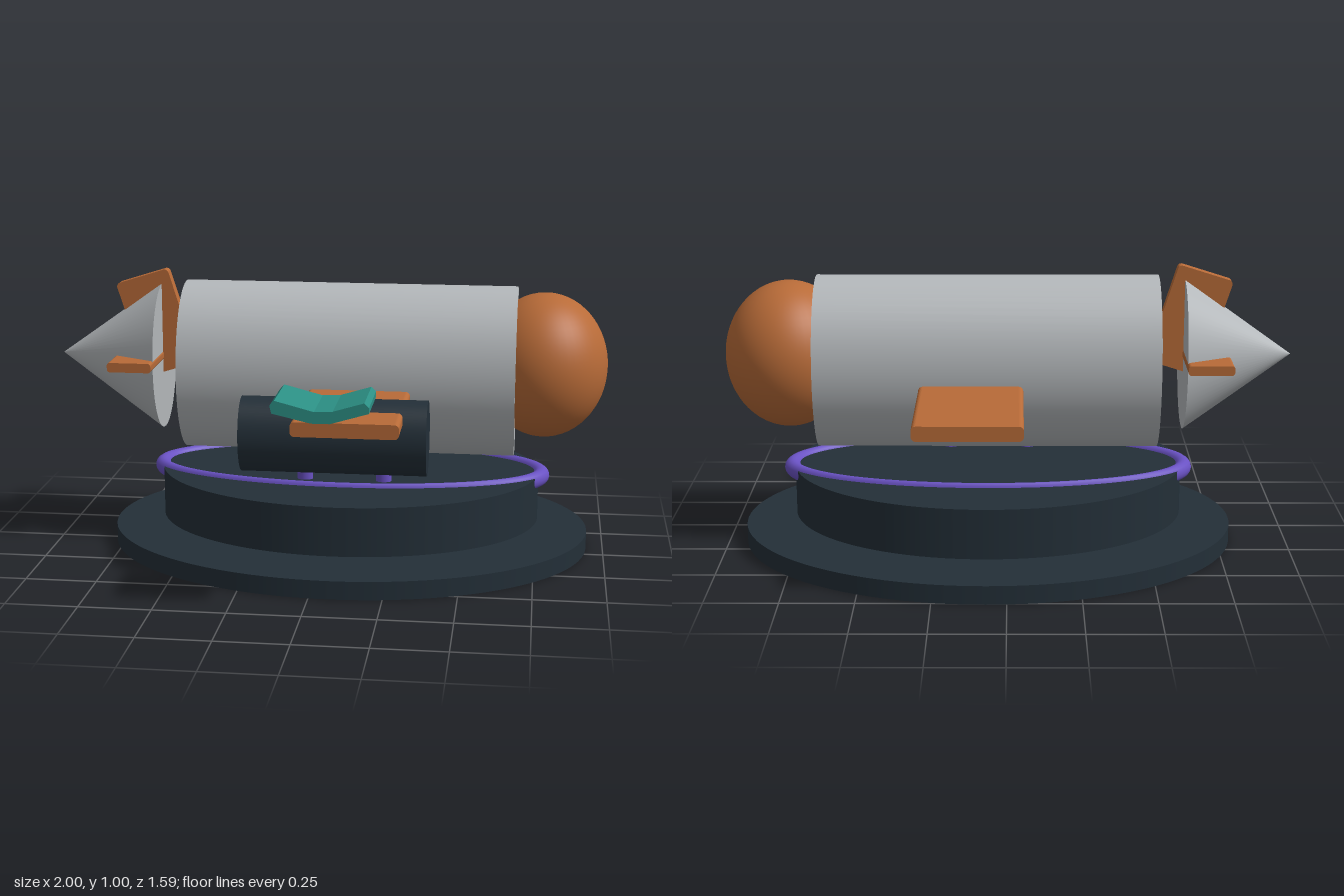
import * as THREE from 'three';

const mat = (name, color) => {
  const m = new THREE.MeshStandardMaterial({ color });
  m.name = name;
  return m;
};

export function createModel() {
  const group = new THREE.Group();
  group.name = 'rocketOnStand';
  const dark = mat('darkSlate', 0x232f38);
  const grey = mat('lightGrey', 0xb4b8bb);
  const copper = mat('copper', 0xb86b38);
  const teal = mat('teal', 0x2c9085);
  const purple = mat('purple', 0x6a52c4);
  const Z = -0.09; // centre line of hull and stand
  const SQ = 0.77; // everything round is narrower in z

  const add = (name, geometry, material, x, y, z) => {
    const m = new THREE.Mesh(geometry, material);
    m.name = name;
    m.position.set(x, y, z);
    group.add(m);
    return m;
  };
  // cylinder lying along x, squashed in z
  const barrel = (name, r, rz, x0, x1, y, z, material) => add(name,
    new THREE.CylinderGeometry(r, r, x1 - x0, 64).rotateZ(Math.PI / 2).scale(1, 1, rz / r),
    material, (x0 + x1) / 2, y, z);
  // profile in xy pulled along z, centred on the given z
  const extrude = (shape, depth) => new THREE.ExtrudeGeometry(shape,
    { depth, bevelEnabled: false, curveSegments: 5 }).translate(0, 0, -depth / 2);
  // rectangle with rounded corners
  const roundRect = (w, h, r) => {
    const s = new THREE.Shape();
    const a = w / 2 - r, b = h / 2 - r, q = Math.PI / 2;
    [[a, b], [-a, b], [-a, -b], [a, -b]].forEach(([x, y], i) => s.absarc(x, y, r, i * q, (i + 1) * q, false));
    return s;
  };

  // two-step oval stand
  add('basePlate', new THREE.CylinderGeometry(0.87, 0.87, 0.065, 96).scale(1, 1, SQ), dark, 0.07, 0.0325, Z);
  add('baseDrum', new THREE.CylinderGeometry(0.69, 0.69, 0.175, 96).scale(1, 1, SQ), dark, 0.07, 0.1925, Z);
  add('baseRing', new THREE.TorusGeometry(0.7, 0.03, 16, 96).rotateX(Math.PI / 2).scale(1, 1, 0.41),
    purple, 0.07, 0.265, -0.1);

  // legs with wheels sunk in the drum
  for (const x of [-0.0725, 0.21]) {
    add('leg', new THREE.CylinderGeometry(0.028, 0.028, 0.535, 20).scale(1, 1, SQ), purple, x, 0.3325, 0.095);
    barrel('wheel', 0.1, 0.1, x - 0.026, x + 0.026, 0.163, 0.095, dark);
  }

  // hull, front dome and tail cone
  barrel('hull', 0.308, 0.235, -0.53, 0.67, 0.652, Z, grey);
  add('dome', new THREE.SphereGeometry(1, 48, 32).scale(0.225, 0.26, 0.235), copper, 0.77, 0.68, Z);
  add('tailCone', new THREE.ConeGeometry(0.27, 0.38, 64).rotateZ(Math.PI / 2).scale(1, 1, SQ),
    grey, -0.81, 0.68, -0.095);

  // wing plate and side pod
  add('wing', extrude(roundRect(0.36, 0.05, 0.016), 1.41), copper, 0.125, 0.596, -0.092);
  barrel('pod', 0.13, 0.1, -0.25, 0.385, 0.52, 0.39, dark);

  // tail fins
  add('sideFins', extrude(roundRect(0.158, 0.034, 0.01), 0.5), copper, -0.697, 0.682, -0.093);
  const fin = add('topFin', extrude(roundRect(0.2, 0.36, 0.015), 0.042), copper, -0.64, 0.802, -0.092);
  fin.rotation.z = 0.305;

  // shallow V-shaped panel floating beyond the wing tip
  const panel = new THREE.Shape([[-0.092, 0.72], [-0.086, 0.695], [0.04, 0.666], [0.1, 0.666], [0.225, 0.703],
    [0.225, 0.722], [0.21, 0.737], [0.11, 0.707], [0.05, 0.704], [-0.077, 0.737]]
    .map(([x, y]) => new THREE.Vector2(x, y)));
  add('panel', extrude(panel, 0.228), teal, 0, 0, 0.683);

  // small port in the hull's rear face
  add('rearPort', new THREE.BoxGeometry(0.03, 0.035, 0.08), teal, -0.525, 0.604, Z);
  return group;
}
